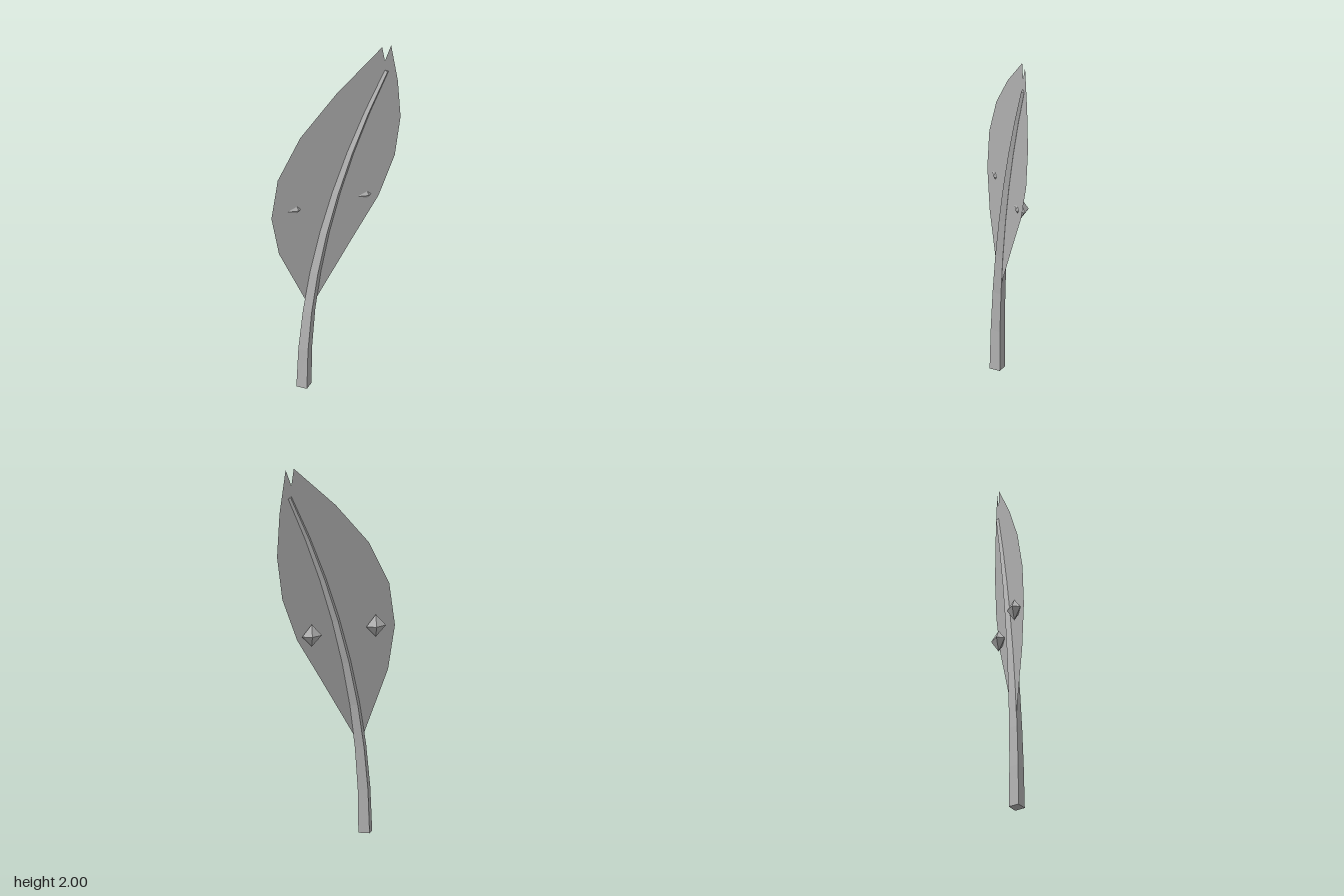
import * as THREE from 'three';

export function createModel() {
  const group = new THREE.Group();
  group.name = 'leaf';
  const grey = new THREE.MeshStandardMaterial({ color: 0xb4b4b4 });
  grey.name = 'grey';
  grey.flatShading = true;
  grey.side = THREE.DoubleSide;
  const Z = 0.008;

  const add = (name, geometry, x = 0, y = 0, z = 0) => {
    const mesh = new THREE.Mesh(geometry, grey);
    mesh.name = name;
    mesh.position.set(x, y, z);
    group.add(mesh);
    return mesh;
  };

  // Stem: square rod, tapered and bent along a parabola
  const height = 1.848, bend = 0.46;
  const stem = new THREE.CylinderGeometry(0.012, 0.042, 1, 4, 8);
  const p = stem.attributes.position;
  for (let i = 0; i < p.count; i++) {
    const t = p.getY(i) + 0.5;
    const tilt = Math.atan2(2 * bend * t, height);
    const side = p.getX(i);
    p.setX(i, -0.18 + bend * t * t + side * Math.cos(tilt));
    p.setY(i, height * t - side * Math.sin(tilt));
  }
  stem.computeVertexNormals();
  add('stem', stem, 0, 0, Z);

  // Blade: flat outline with a notched tip
  const outline = [
    [-0.145, 0.47], [0.09, 0.85], [0.235, 1.08], [0.325, 1.31], [0.357, 1.54],
    [0.342, 1.77], [0.305, 2], [0.27, 1.91], [0.255, 2], [0, 1.77],
    [-0.2, 1.545], [-0.325, 1.31], [-0.36, 1.08], [-0.318, 0.85],
  ].map(([x, y]) => new THREE.Vector2(x, y));
  add('blade', new THREE.ShapeGeometry(new THREE.Shape(outline)), 0, 0, Z - 0.001);

  // Beads: five-sided double pyramids set into the back of the blade
  for (const [name, x] of [['rightBead', -0.23], ['leftBead', 0.16]]) {
    const bead = new THREE.SphereGeometry(0.059, 5, 2);
    bead.rotateY(Math.PI);
    bead.scale(1, 1, 0.63);
    add(name, bead, x, 1.1, -0.016);
  }
  return group;
}
